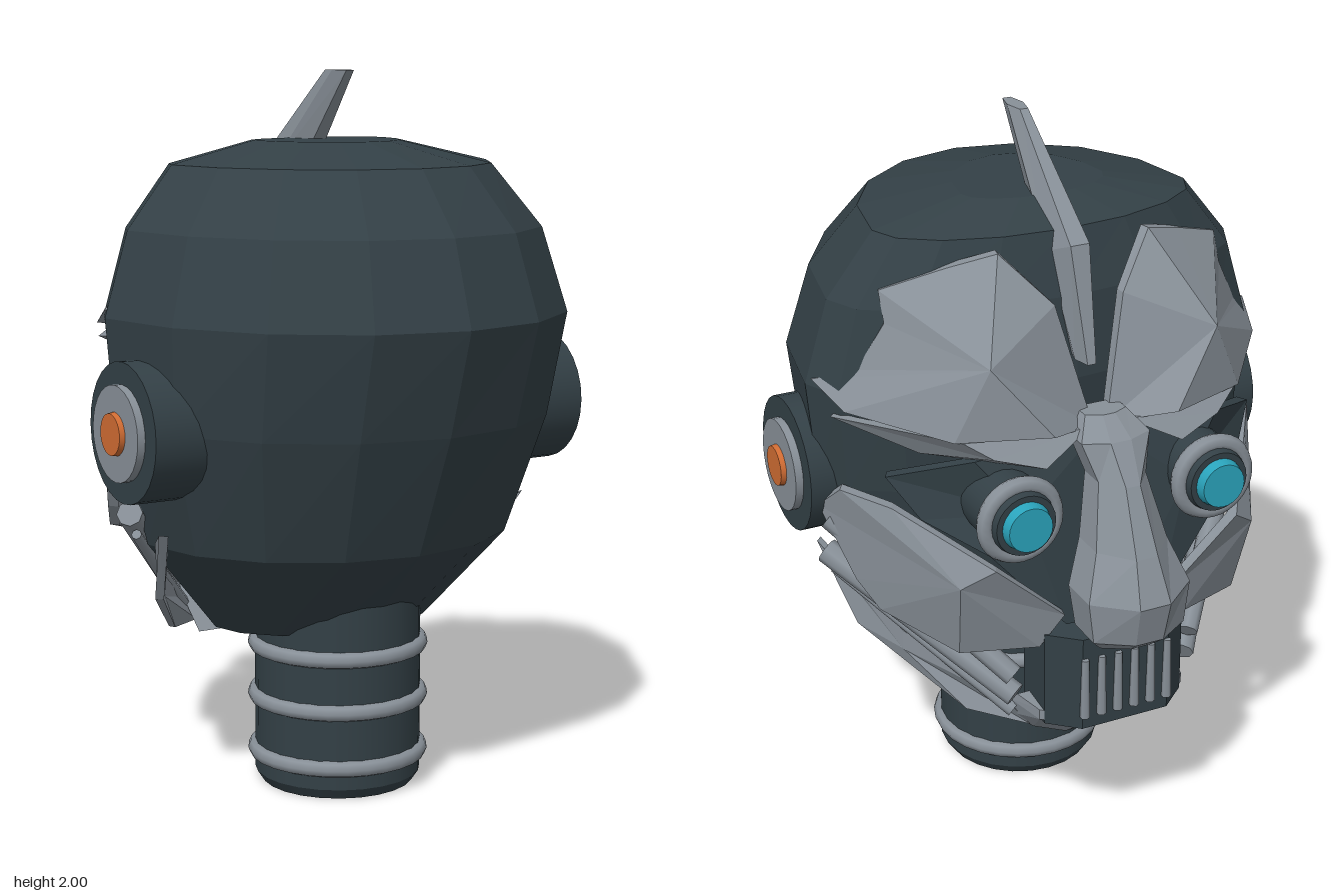
import * as THREE from 'three';

const mat = (name, color) => {
  const m = new THREE.MeshStandardMaterial({ color, side: THREE.DoubleSide });
  m.name = name;
  return m;
};

// flat-shaded geometry from a list of triangles
function facets(tris) {
  const g = new THREE.BufferGeometry();
  g.setAttribute('position', new THREE.Float32BufferAttribute(tris.flat(2), 3));
  g.computeVertexNormals();
  return g;
}

// skin over rings of points, bottom to top, capped at both ends
function loft(rings) {
  const t = [], n = rings[0].length;
  for (let i = 0; i < rings.length - 1; i++) {
    for (let j = 0; j < n; j++) {
      const k = (j + 1) % n, a = rings[i], b = rings[i + 1];
      t.push([a[j], a[k], b[k]], [a[j], b[k], b[j]]);
    }
  }
  const lo = rings[0], hi = rings[rings.length - 1];
  for (let j = 1; j < n - 1; j++) {
    t.push([lo[0], lo[j + 1], lo[j]], [hi[0], hi[j], hi[j + 1]]);
  }
  return facets(t);
}

const ring = (y, pts) => pts.map(([x, z]) => [x, y, z]);

// armour plate: outline fanned to a raised peak, with a thin rim behind
function plate(outline, peak, side, depth = 0.03) {
  const flip = ([x, y, z]) => [x * side, y, z];
  const back = ([x, y, z]) => [x * 0.97, y, z + depth];
  const pts = outline.map(flip), top = flip(peak);
  if (side < 0) pts.reverse();
  const t = [];
  pts.forEach((p, i) => {
    const q = pts[(i + 1) % pts.length];
    t.push([top, p, q], [back(top), back(q), back(p)], [p, back(p), back(q)], [p, back(q), q]);
  });
  return facets(t);
}

// tapered round bar between two points
function bar(a, b, ra, rb, sides = 8) {
  const p = new THREE.Vector3(...a), q = new THREE.Vector3(...b), d = q.clone().sub(p);
  const g = new THREE.CylinderGeometry(rb, ra, d.length(), sides);
  g.applyQuaternion(new THREE.Quaternion().setFromUnitVectors(new THREE.Vector3(0, 1, 0), d.normalize()));
  return g.translate(...p.add(q).multiplyScalar(0.5).toArray());
}

export function createModel() {
  const model = new THREE.Group();
  const dark = mat('darkSteel', 0x334046), grey = mat('greyMetal', 0x889098);
  const cyan = mat('eyeCyan', 0x2aa3bb), orange = mat('boltOrange', 0xd06c33);
  const add = (name, geometry, material) => {
    const m = new THREE.Mesh(geometry, material);
    m.name = name;
    model.add(m);
    return m;
  };

  // skull: y, half width, back depth, face depth
  const skull = [
    [0.46, 0.34, 0.25, 0.13], [0.72, 0.55, 0.51, 0.2], [1.06, 0.645, 0.65, 0.25], [1.35, 0.67, 0.737, 0.28],
    [1.58, 0.6, 0.66, 0.26], [1.75, 0.465, 0.51, 0.21], [1.81, 0.21, 0.25, 0.1],
  ].map(([y, w, b, f]) => ring(y, Array.from({ length: 16 }, (_, i) => {
    const t = i * Math.PI / 8, c = Math.cos(t);
    return [Math.sin(t) * w, c * (c > 0 ? b : f)];
  })));
  add('skull', loft(skull), dark);

  // neck with three hoops
  add('neck', new THREE.CylinderGeometry(0.235, 0.235, 0.53, 24).translate(0, 0.295, 0.1), dark);
  add('neckFoot', new THREE.CylinderGeometry(0.235, 0.215, 0.03, 24).translate(0, 0.015, 0.1), dark);
  for (const y of [0.09, 0.25, 0.4]) {
    add('neckHoop', new THREE.TorusGeometry(0.232, 0.024, 8, 28).rotateX(Math.PI / 2).translate(0, y, 0.1), grey);
  }

  // crest fin: front y/z, back y/z, half width
  const fin = [
    [1.42, -0.36, 1.42, -0.26, 0.025], [1.73, -0.285, 1.66, -0.12, 0.055], [2, 0.05, 2, 0.16, 0.024],
  ].map(([fy, fz, by, bz, w]) => {
    const y = (fy + by) / 2, z = (fz + bz) / 2;
    return [[w * 0.5, fy, fz], [-w * 0.5, fy, fz], [-w, y, z], [-w * 0.5, by, bz], [w * 0.5, by, bz], [w, y, z]];
  });
  add('crest', loft(fin), grey);

  // nose: y, half width, ridge z, side z, back z
  const nose = [
    [0.72, 0.1, -0.66, -0.62, -0.55], [0.76, 0.135, -0.71, -0.65, -0.54], [0.88, 0.15, -0.738, -0.65, -0.53],
    [1, 0.105, -0.685, -0.6, -0.5], [1.17, 0.07, -0.6, -0.54, -0.46], [1.27, 0.1, -0.53, -0.5, -0.42],
    [1.32, 0.06, -0.46, -0.44, -0.38],
  ].map(([y, w, r, s, b]) => ring(y, [[w * 0.3, r], [-w * 0.3, r], [-w, s], [-w, b], [w, b], [w, s]]));
  add('nose', loft(nose), grey);

  // mouth block, teeth and chin
  const mouth = [[0.13, -0.58], [-0.13, -0.58], [-0.21, -0.51], [-0.2, -0.36], [0.2, -0.36], [0.21, -0.51]];
  add('mouth', loft([ring(0.45, mouth), ring(0.73, mouth)]), dark);
  for (let i = 0; i < 6; i++) {
    const x = -0.125 + i * 0.05;
    add('tooth', bar([x, 0.49, -0.585], [x, 0.67, -0.585], 0.014, 0.01, 6), grey);
  }
  add('chin', loft([
    ring(0.37, [[0.12, -0.46], [-0.12, -0.46], [-0.19, -0.4], [-0.24, -0.28], [0.24, -0.28], [0.19, -0.4]]),
    ring(0.46, [[0.13, -0.575], [-0.13, -0.575], [-0.22, -0.5], [-0.25, -0.36], [0.25, -0.36], [0.22, -0.5]]),
    ring(0.49, [[0.13, -0.575], [-0.13, -0.575], [-0.22, -0.5], [-0.24, -0.4], [0.24, -0.4], [0.22, -0.5]]),
  ]), grey);

  for (const s of [1, -1]) {
    const at = (x, y, z) => [x * s, y, z];

    // ear caps
    const cap = (name, r0, r1, x0, x1, m) => add(name, bar(at(x0, 1.06, 0.13), at(x1, 1.06, 0.13), r0, r1, 28), m);
    cap('earHousing', 0.19, 0.19, 0.5, 0.688, dark);
    cap('earDisc', 0.13, 0.13, 0.68, 0.71, grey);
    cap('earBolt', 0.06, 0.056, 0.7, 0.725, orange);

    // eyes
    const eye = (name, r0, r1, z0, z1, m) => add(name, bar(at(0.285, 1.1, z0), at(0.285, 1.1, z1), r0, r1, 24), m);
    eye('eyeHousing', 0.1, 0.1, -0.36, -0.5, dark);
    add('eyeRim', new THREE.TorusGeometry(0.1, 0.024, 8, 28).translate(0.285 * s, 1.1, -0.515), grey);
    eye('eyeBezel', 0.098, 0.085, -0.5, -0.555, dark);
    eye('eyeLens', 0.072, 0.062, -0.54, -0.583, cyan);

    // dark socket behind the eye
    add('eyeSocket', plate([
      [0.02, 1.25, -0.42], [0.36, 1.23, -0.4], [0.55, 1.16, -0.25], [0.48, 1.05, -0.32],
      [0.34, 0.97, -0.45], [0.14, 0.74, -0.5], [0.02, 0.74, -0.5],
    ], [0.24, 1.08, -0.46], s), dark);

    // brow plate and eyelid blade
    add('brow', plate([
      [0.1, 1.6, -0.34], [0.22, 1.73, -0.25], [0.34, 1.69, -0.19], [0.5, 1.63, -0.115], [0.5, 1.55, -0.15],
      [0.57, 1.42, -0.12], [0.66, 1.37, -0.02], [0.62, 1.32, -0.15], [0.42, 1.3, -0.41], [0.18, 1.31, -0.51],
      [0.02, 1.27, -0.41],
    ], [0.33, 1.5, -0.44], s), grey);
    add('eyelid', plate([
      [0.06, 1.29, -0.46], [0.4, 1.3, -0.42], [0.64, 1.29, -0.1], [0.46, 1.22, -0.27], [0.2, 1.22, -0.5],
    ], [0.33, 1.255, -0.46], s, 0.02), grey);

    // cheek plate
    add('cheek', plate([
      [0.16, 0.79, -0.53], [0.36, 0.97, -0.53], [0.54, 1.07, -0.26], [0.63, 1.08, -0.12], [0.66, 1, -0.03],
      [0.6, 0.81, -0.14], [0.56, 0.74, -0.21], [0.42, 0.68, -0.42], [0.22, 0.69, -0.5],
    ], [0.44, 0.91, -0.48], s), grey);

    // jaw struts and the blade below them
    add('upperJawStrut', bar(at(0.63, 0.96, -0.04), at(0.27, 0.58, -0.44), 0.035, 0.03), grey);
    add('lowerJawStrut', bar(at(0.62, 0.82, 0.03), at(0.26, 0.51, -0.43), 0.036, 0.034), grey);
    add('thinJawStrut', bar(at(0.6, 0.76, 0.03), at(0.24, 0.43, -0.38), 0.014, 0.024), grey);
    add('jawBlade', plate([
      [0.6, 0.78, 0.16], [0.54, 0.57, 0.02], [0.34, 0.4, -0.28], [0.2, 0.38, -0.4],
      [0.26, 0.46, -0.38], [0.46, 0.6, -0.12], [0.57, 0.74, 0.08],
    ].reverse(), [0.46, 0.54, -0.12], s, 0.02), grey);
  }
  return model;
}
